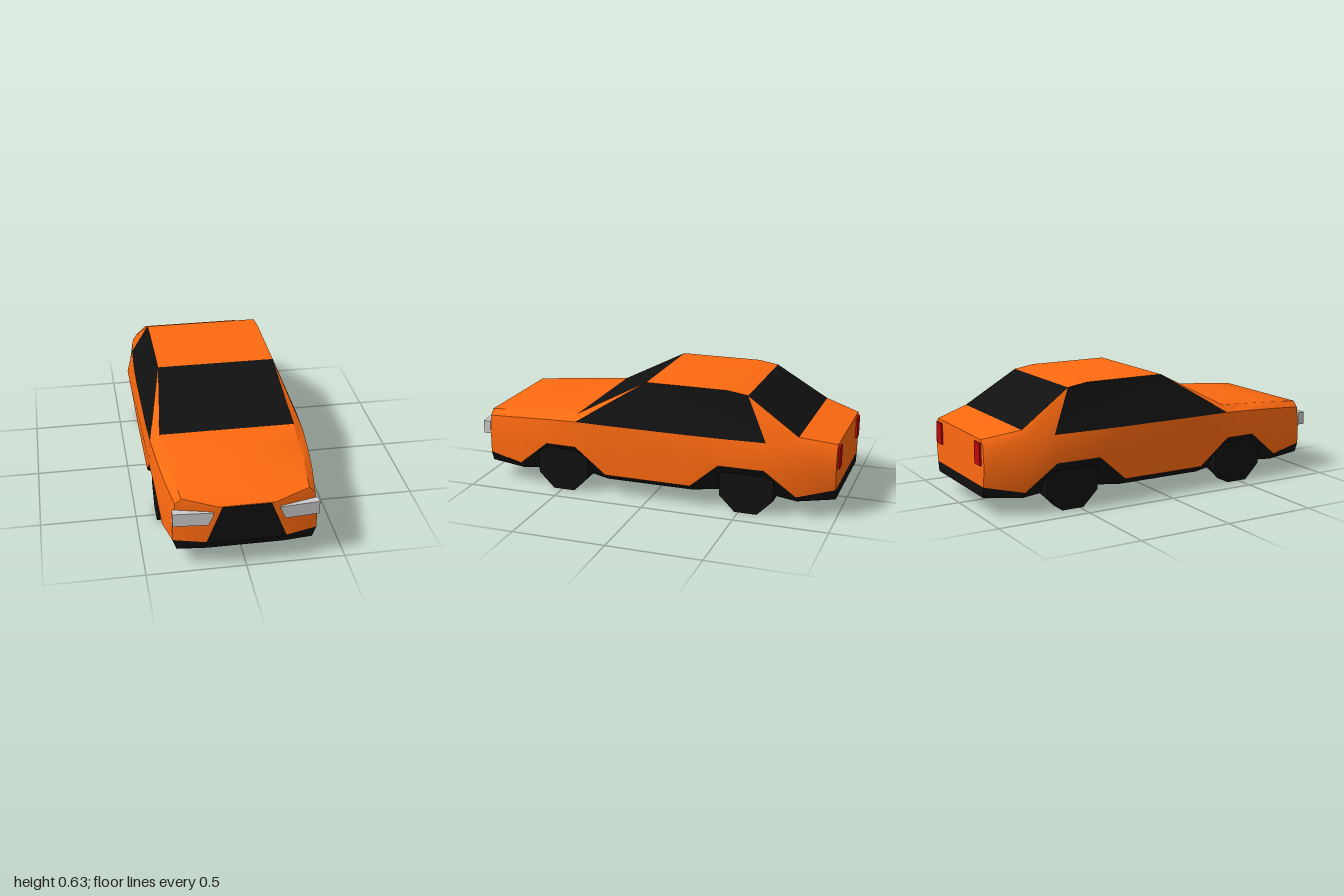
import * as THREE from 'three';
import { toCreasedNormals } from 'three/addons/utils/BufferGeometryUtils.js';

const paint = new THREE.MeshStandardMaterial({ color: 0xff6a10 });
const black = new THREE.MeshStandardMaterial({ color: 0x111111 });
const red = new THREE.MeshStandardMaterial({ color: 0xc00808 });
const grey = new THREE.MeshStandardMaterial({ color: 0xcccccc });

// z, topX, topY, beltX, midX, lowX, lowY, floorX, floorY (nose to tail)
const stations = [
  [0.995, 0.14, 0.36, 0.15, 0.17, 0.2, 0.16, 0.19, 0.1],
  [0.945, 0.315, 0.393, 0.345, 0.36, 0.36, 0.155, 0.34, 0.1],
  [0.75, 0.332, 0.41, 0.375, 0.392, 0.39, 0.12, 0.36, 0.085],
  [0.58, 0.342, 0.422, 0.392, 0.41, 0.41, 0.26, 0.29, 0.08],
  [0.41, 0.355, 0.435, 0.405, 0.415, 0.415, 0.26, 0.29, 0.08],
  [0.24, 0, 0.5, 0.41, 0.415, 0.41, 0.12, 0.36, 0.08],
  [-0.24, 0, 0.5, 0.413, 0.422, 0.413, 0.12, 0.36, 0.08],
  [-0.4, 0, 0.5, 0.411, 0.431, 0.43, 0.26, 0.29, 0.08],
  [-0.64, 0, 0.5, 0.4, 0.432, 0.43, 0.26, 0.29, 0.08],
  [-0.8, 0.355, 0.435, 0.38, 0.402, 0.385, 0.12, 0.35, 0.085],
  [-0.99, 0.285, 0.395, 0.31, 0.318, 0.305, 0.155, 0.295, 0.1],
];

const centre = ([, y, z]) => [0, y, z];

// Collects polygons on the left side and mirrors each to the right
function makeSkin(name, material) {
  const data = [];
  const fan = (...pts) => {
    for (let i = 1; i < pts.length - 1; i++) {
      const [a, b, c] = [pts[0], pts[i], pts[i + 1]];
      data.push(...a, ...b, ...c);
      for (const [x, y, z] of [a, c, b]) data.push(-x, y, z);
    }
  };
  const build = () => {
    const g = new THREE.BufferGeometry();
    g.setAttribute('position', new THREE.Float32BufferAttribute(data, 3));
    const mesh = new THREE.Mesh(toCreasedNormals(g, 0.6), material);
    mesh.name = name;
    return mesh;
  };
  return { fan, build };
}

function createModel() {
  const car = new THREE.Group();
  car.name = 'car';
  const add = (name, geometry, material, x = 0, y = 0, z = 0) => {
    const mesh = new THREE.Mesh(geometry, material);
    mesh.name = name;
    mesh.position.set(x, y, z);
    car.add(mesh);
    return mesh;
  };

  const body = makeSkin('bodyShell', paint);
  const under = makeSkin('underbody', black);
  const glass = makeSkin('windows', black);

  // Half cross-sections: top, belt, waist, lower edge, floor
  const rows = stations.map(([z, tx, ty, bx, mx, lx, ly, fx, fy]) => {
    const top = [tx, ty, z];
    const floor = [fx, fy, Math.min(z, 0.96)];
    return [
      centre(top), top, [bx, Math.min(0.4, ty - 0.03), z],
      [mx, Math.max(0.26, ly + 0.01), z], [lx, ly, z], floor, centre(floor),
    ];
  });
  const cabinStart = 4, cabinEnd = 9;
  for (let i = 0; i < rows.length - 1; i++) {
    const p = rows[i], q = rows[i + 1];
    const first = i >= cabinStart && i < cabinEnd ? 2 : 0;
    for (let j = first; j < 6; j++) {
      (j < 4 ? body : under).fan(p[j], p[j + 1], q[j + 1], q[j]);
    }
  }

  // Nose and tail panels with their black lower strips
  const nose = rows[0], tail = rows[rows.length - 1];
  body.fan(nose[0], centre(nose[4]), nose[4], nose[3], nose[2], nose[1]);
  under.fan(centre(nose[4]), nose[6], nose[5], nose[4]);
  body.fan(tail[0], tail[1], tail[2], tail[3], tail[4], centre(tail[4]));
  under.fan(centre(tail[4]), tail[4], tail[5], tail[6]);

  // Cabin: windscreen, roof, rear window, side windows and pillars
  const cowl = rows[cabinStart][1], deck = rows[cabinEnd][1];
  const roof = [[0.315, 0.632, 0.035], [0.315, 0.632, -0.41], [0.315, 0.615, -0.52]];
  const across = (skin, a, b) => skin.fan(centre(a), a, b, centre(b));
  across(glass, cowl, roof[0]);
  across(body, roof[0], roof[1]);
  across(body, roof[1], roof[2]);
  across(glass, roof[2], deck);
  const belt = rows.slice(cabinStart, cabinEnd).map((r) => r[2]);
  glass.fan(roof[0], ...belt, roof[2], roof[1]);
  body.fan(roof[0], cowl, belt[0]);
  body.fan(roof[2], belt[4], rows[cabinEnd][2], deck);
  car.add(body.build(), under.build(), glass.build());

  // Grille
  const grille = new THREE.Shape([
    [-0.12, 0.357], [-0.2, 0.155], [0.2, 0.155], [0.12, 0.357],
  ].map(([x, y]) => new THREE.Vector2(x, y)));
  add('grille', new THREE.ExtrudeGeometry(grille, { depth: 0.012, bevelEnabled: false }), black, 0, 0, 0.986);

  for (const side of [1, -1]) {
    const label = side > 0 ? 'left' : 'right';

    // Headlights, swept back towards the outside
    const lamp = new THREE.Shape([
      [0.165, 0.332], [0.165, 0.315], [0.19, 0.262], [0.362, 0.262], [0.362, 0.332],
    ].map(([x, y]) => new THREE.Vector2(side * x, y)));
    const lampGeo = new THREE.ExtrudeGeometry(lamp, { depth: 0.04, bevelEnabled: false });
    const pos = lampGeo.attributes.position;
    for (let i = 0; i < pos.count; i++) {
      pos.setZ(i, pos.getZ(i) - 0.08 * (Math.abs(pos.getX(i)) - 0.165));
    }
    lampGeo.computeVertexNormals();
    add(label + 'Headlight', lampGeo, grey, 0, 0, 0.96);

    // Tail lights
    add(label + 'TailLight', new THREE.BoxGeometry(0.065, 0.115, 0.025), red, side * 0.255, 0.32, -0.9875);

    // Eight-sided wheels
    for (const [end, z] of [['Front', 0.49], ['Rear', -0.54]]) {
      const r = 0.145 / Math.cos(Math.PI / 8);
      const wheel = new THREE.CylinderGeometry(r, r, 0.097, 8);
      wheel.rotateY(Math.PI / 8).rotateZ(Math.PI / 2);
      add(label + end + 'Wheel', toCreasedNormals(wheel, 0.9), black, side * 0.3465, 0.145, z);
    }
  }
  return car;
}

export { createModel };
